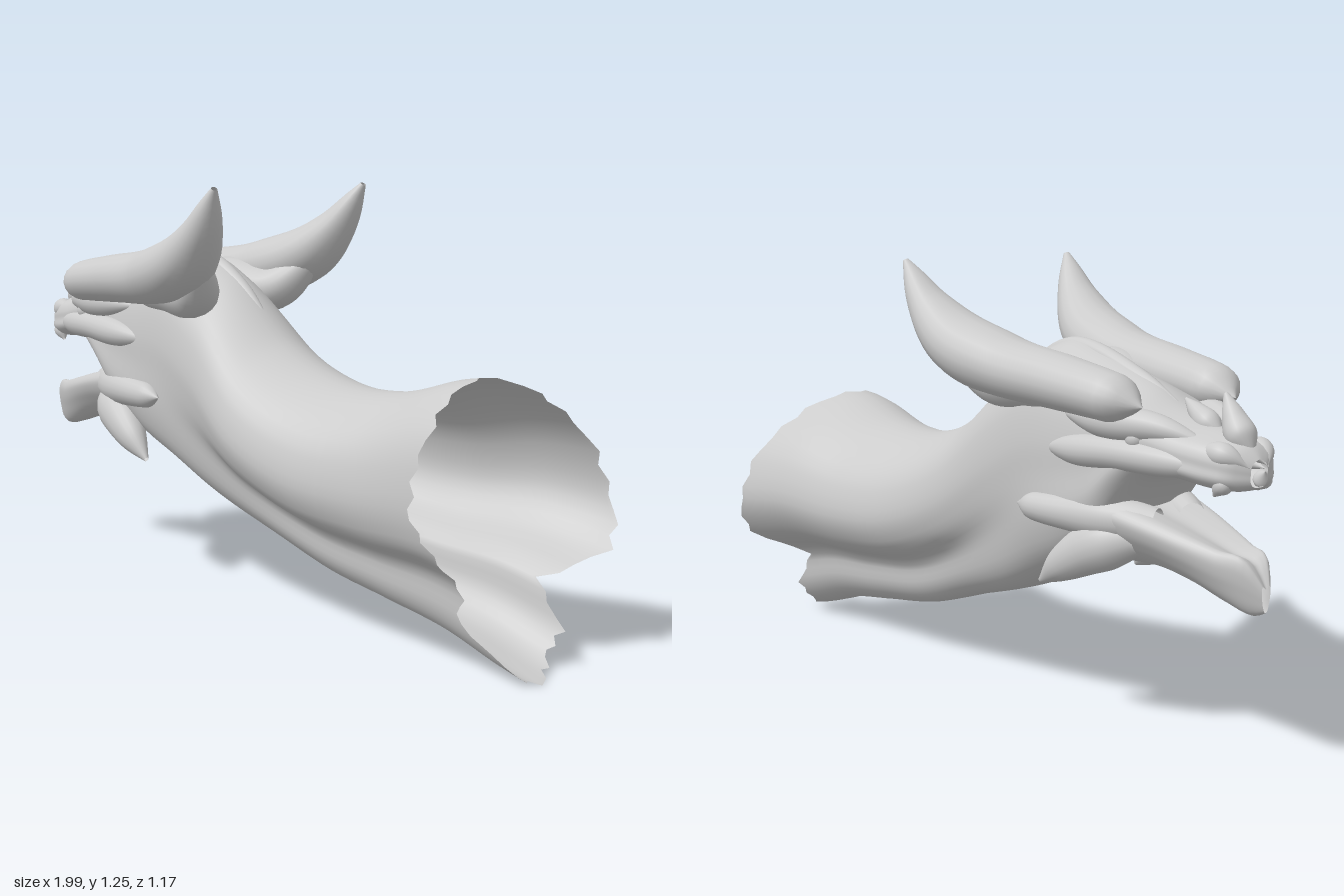
import * as THREE from 'three';
import { mergeVertices } from 'three/addons/utils/BufferGeometryUtils.js';

const grey = new THREE.MeshStandardMaterial({ color: 0xcccccc, side: THREE.DoubleSide });

// Half outlines from bottom to top: [share of half width, share of height]
const neckHalf = [[0, 0], [0.28, 0.02], [0.43, 0.11], [0.48, 0.24], [0.86, 0.37], [1, 0.53], [0.9, 0.74], [0.52, 0.92], [0, 1]];
const headHalf = [[0, 0], [0.5, 0.02], [0.85, 0.12], [1, 0.28], [0.97, 0.45], [0.96, 0.6], [0.85, 0.78], [0.48, 0.92], [0, 1]];
const jawHalf = [[0, 0], [0.35, 0.06], [0.6, 0.2], [0.8, 0.4], [0.95, 0.6], [1, 0.8], [0.85, 0.95], [0.45, 0.93], [0, 0.86]];
// Torn neck edge: x at each outline point, from the bottom up the left side and down the right
const tornEdge = [2.1, 2.08, 1.9, 1.91, 1.87, 1.81, 1.84, 1.86, 1.87, 1.92, 1.97, 2.02, 2.07, 1.95, 2.04, 2.03];

const RING = 64;
function ringOf(half) {
  const other = half.slice(1, -1).reverse().map(([w, h]) => [-w, h]);
  const pts = [...half, ...other].map(([w, h]) => new THREE.Vector3(w, h, 0));
  return new THREE.CatmullRomCurve3(pts, true).getPoints(RING).slice(0, RING);
}

function tornEnd(j) {
  const f = (j / RING) * tornEdge.length, k = Math.floor(f);
  const x = THREE.MathUtils.lerp(tornEdge[k], tornEdge[(k + 1) % tornEdge.length], f - k);
  return x + [0, 0.015, -0.012, 0.006, -0.01][j % 5];
}

// Skin over sections [x, bottom, top, half width, sideways shift of the flanks]
function loft(sections, steps, profileAt, endAt) {
  const xs = sections.map((s) => s[0]);
  const track = new THREE.CubicInterpolant(xs, sections.flatMap((s) => s.slice(1)), 4);
  const pos = [], index = [];
  const x0 = xs[0], x1 = xs[xs.length - 1];
  for (let i = 0; i <= steps; i++) {
    for (let j = 0; j < RING; j++) {
      const u = i / steps;
      const x = x0 + (x1 - x0) * u + (endAt(j) - x1) * Math.max(0, (u - 0.7) / 0.3);
      const [lo, hi, w, c] = track.evaluate(x);
      const p = profileAt(x, j);
      pos.push(x, lo + (hi - lo) * p.y, w * p.x + c * p.x * p.x);
      if (i < steps) {
        const a = i * RING + j, d = i * RING + (j + 1) % RING;
        index.push(a, a + RING, d, a + RING, d + RING, d);
      }
    }
  }
  const g = new THREE.BufferGeometry();
  g.setAttribute('position', new THREE.Float32BufferAttribute(pos, 3));
  g.setIndex(index);
  g.computeVertexNormals();
  return g;
}

// Curved spike of changing radius; wide stretches it sideways
function spike(points, radii, wide = 1) {
  const curve = new THREE.CatmullRomCurve3(points.map((p) => new THREE.Vector3(...p)));
  const N = 40, R = 18;
  const g = new THREE.TubeGeometry(curve, N, 1, R);
  const size = new THREE.CubicInterpolant(radii.map((_, i) => i / (radii.length - 1)), radii, 1);
  const pos = g.attributes.position, v = new THREE.Vector3();
  for (let i = 0; i <= N; i++) {
    const c = curve.getPointAt(i / N), r = Math.max(size.evaluate(i / N)[0], 0.001);
    for (let j = 0; j <= R; j++) {
      const k = i * (R + 1) + j;
      v.fromBufferAttribute(pos, k).sub(c).multiplyScalar(r);
      pos.setXYZ(k, c.x + v.x, c.y + v.y, c.z + v.z * wide);
    }
  }
  g.deleteAttribute('uv');
  g.deleteAttribute('normal');
  const m = mergeVertices(g, 1e-5);
  m.computeVertexNormals();
  return m;
}

export function createModel() {
  const model = new THREE.Group();
  model.name = 'hornedHead';
  // Local x runs from snout to neck, z is sideways
  const body = new THREE.Group();
  body.name = 'headAndNeck';
  body.position.set(-0.97, 0, -0.53);
  body.rotation.y = -0.53;
  model.add(body);

  const add = (name, geometry) => {
    const m = new THREE.Mesh(geometry, grey);
    m.name = name;
    body.add(m);
    return m;
  };
  const pair = (name, points, radii, wide) => {
    for (const side of [1, -1]) {
      add((side > 0 ? 'left' : 'right') + name, spike(points.map(([x, y, z]) => [x, y, z * side]), radii, wide));
    }
  };

  // Skull, throat and hollow neck in one skin, torn at the open end
  const neckRing = ringOf(neckHalf), headRing = ringOf(headHalf);
  const skin = [
    [0.0, 0.74, 0.81, 0.03, 0], [0.02, 0.73, 0.835, 0.07, 0], [0.08, 0.725, 0.86, 0.105, 0],
    [0.18, 0.735, 0.88, 0.135, 0], [0.28, 0.735, 0.91, 0.157, 0], [0.36, 0.66, 0.95, 0.17, 0],
    [0.46, 0.53, 0.985, 0.175, 0], [0.58, 0.45, 1.02, 0.183, 0], [0.72, 0.385, 1.045, 0.19, 0],
    [0.89, 0.31, 0.975, 0.2, 0.01], [1.12, 0.24, 0.79, 0.235, 0.02], [1.36, 0.165, 0.705, 0.25, 0],
    [1.59, 0.125, 0.705, 0.257, -0.03], [1.82, 0.085, 0.765, 0.275, -0.06], [2.0, 0.03, 0.785, 0.285, -0.08],
    [2.12, 0.0, 0.79, 0.29, -0.08],
  ];
  add('skullAndNeck', loft(skin, 120,
    (x, j) => headRing[j].clone().lerp(neckRing[j], THREE.MathUtils.smoothstep(x, 0.5, 1.4)), tornEnd));

  // Lower jaw with a blunt chin
  const jawRing = ringOf(jawHalf);
  add('lowerJaw', loft([
    [-0.035, 0.43, 0.5, 0.015, 0], [0.0, 0.415, 0.56, 0.045, 0], [0.08, 0.43, 0.58, 0.075, 0],
    [0.18, 0.46, 0.605, 0.105, 0], [0.3, 0.48, 0.635, 0.135, 0], [0.42, 0.475, 0.66, 0.16, 0],
    [0.54, 0.46, 0.66, 0.165, 0], [0.7, 0.5, 0.6, 0.08, 0],
  ], 40, (x, j) => jawRing[j], () => 0.7));

  // Great horns sweeping back from the brow and up at the tips
  pair('Horn', [[0.255, 0.92, 0.16], [0.38, 0.94, 0.178], [0.55, 0.958, 0.19], [0.76, 0.98, 0.21],
    [0.93, 1.03, 0.24], [1.04, 1.12, 0.265], [1.13, 1.25, 0.29]],
  [0, 0.056, 0.066, 0.07, 0.074, 0.077, 0.08, 0.084, 0.089, 0.089, 0.083, 0.07, 0.052, 0.033, 0.008], 1.2);

  // Brow, cheek and skull folds
  pair('BrowRidge', [[0.1, 0.83, 0.05], [0.24, 0.865, 0.11], [0.38, 0.87, 0.15], [0.6, 0.87, 0.15]], [0, 0.038, 0.044, 0]);
  pair('CheekRidge', [[0.04, 0.775, 0.06], [0.2, 0.785, 0.11], [0.36, 0.79, 0.15], [0.52, 0.78, 0.162], [0.68, 0.77, 0.155]], [0, 0.038, 0.042, 0.04, 0]);
  pair('HornRoot', [[0.5, 0.92, 0.1], [0.72, 0.94, 0.13], [0.88, 0.93, 0.16], [1.0, 1.05, 0.24]], [0, 0.07, 0.075, 0.06, 0.02], 1.1);
  add('skullCrest', spike([[0.2, 0.865, 0], [0.45, 0.965, 0], [0.72, 1.025, 0], [0.9, 0.95, 0], [1.08, 0.8, 0]], [0, 0.022, 0.026, 0.022, 0]));

  // Spikes at the corners of the jaw, upper ones blunt
  pair('UpperJawSpike', [[0.3, 0.605, 0.06], [0.46, 0.605, 0.13], [0.6, 0.605, 0.17], [0.735, 0.605, 0.19]],
    [0.04, 0.05, 0.056, 0.058, 0.055, 0.05, 0.046, 0.042, 0.034, 0], 0.95);
  pair('LowerJawSpike', [[0.36, 0.56, 0.08], [0.46, 0.525, 0.13], [0.56, 0.465, 0.16], [0.65, 0.4, 0.172]], [0.05, 0.072, 0.064, 0.044, 0.008], 0.9);

  // Nose spikes, nostrils, lip points and eyes
  add('frontNoseSpike', spike([[0.02, 0.81, 0], [0.07, 0.865, 0], [0.125, 0.96, 0]], [0, 0.04, 0.03, 0.006]));
  add('rearNoseSpike', spike([[0.13, 0.85, 0], [0.2, 0.885, 0], [0.27, 0.93, 0]], [0, 0.032, 0.025, 0.004]));
  pair('Nostril', [[0.0, 0.79, 0.03], [0.05, 0.815, 0.06], [0.14, 0.83, 0.085]], [0, 0.032, 0]);
  pair('LipPoint', [[0.03, 0.77, 0.05], [0.06, 0.74, 0.07], [0.08, 0.715, 0.075]], [0, 0.025, 0.004]);
  for (const side of [1, -1]) {
    const eye = add((side > 0 ? 'left' : 'right') + 'Eye', new THREE.SphereGeometry(0.028, 20, 14));
    eye.position.set(0.3, 0.835, 0.14 * side);
  }
  return model;
}
